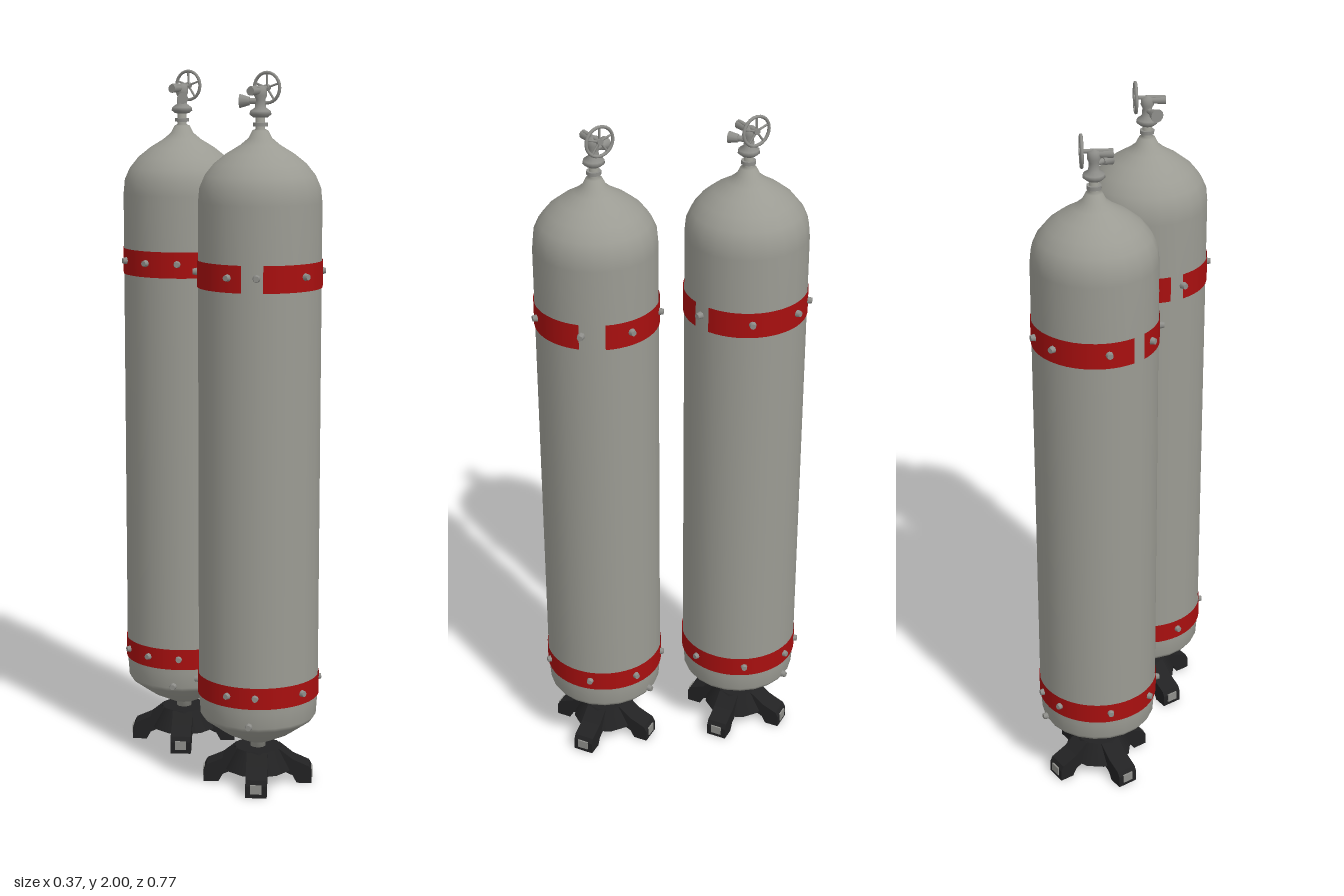
import * as THREE from 'three';

const rad = THREE.MathUtils.degToRad;
const mat = (name, color) => {
  const m = new THREE.MeshStandardMaterial({ color });
  m.name = name;
  return m;
};
const v2 = (list) => list.map(([x, y]) => new THREE.Vector2(x, y));

export function createModel() {
  const tankGrey = mat('tank grey', 0x9b9b93);
  const metal = mat('fitting metal', 0x8e8e8a);
  const red = mat('band red', 0xa80f0f);
  const black = mat('base black', 0x222223);
  red.side = THREE.DoubleSide;

  const add = (parent, name, geometry, material, x = 0, y = 0, z = 0) => {
    const m = new THREE.Mesh(geometry, material);
    m.name = name;
    m.position.set(x, y, z);
    parent.add(m);
    return m;
  };
  // child group whose +z points along an azimuth measured from the front
  const facing = (parent, name, azimuth, y = 0) => {
    const g = new THREE.Group();
    g.name = name;
    g.rotation.y = rad(azimuth);
    g.position.y = y;
    parent.add(g);
    return g;
  };
  // cylinder lying along z, r1 at the far end
  const rod = (r1, r0, length, sides) =>
    new THREE.CylinderGeometry(r1, r0, length, sides).rotateX(Math.PI / 2);

  // shared geometry
  const tankGeo = new THREE.LatheGeometry(v2([
    [0, 0.09], [0.022, 0.09], [0.022, 0.118], [0.04, 0.122], [0.1, 0.152], [0.158, 0.194],
    [0.165, 0.206], [0.168, 0.25], [0.17, 0.34], [0.17, 1.4], [0.17, 1.65], [0.166, 1.69],
    [0.152, 1.722], [0.127, 1.753], [0.093, 1.78], [0.055, 1.803], [0.032, 1.822],
    [0.022, 1.842], [0.013, 1.846], [0.013, 1.89], [0, 1.89],
  ]), 22);
  const legShape = new THREE.Shape(v2([
    [0, 0.1], [0.062, 0.1], [0.1, 0.07], [0.146, 0.05], [0.154, 0.035], [0.154, 0],
    [0.112, 0], [0.1, 0.022], [0.05, 0.045], [0, 0.045],
  ]));
  const legGeo = new THREE.ExtrudeGeometry(legShape, { depth: 0.06, bevelEnabled: false })
    .translate(0, 0, -0.03).rotateY(-Math.PI / 2);
  const hubGeo = new THREE.CylinderGeometry(0.066, 0.098, 0.062, 12);
  const boltGeo = rod(0.008, 0.012, 0.02, 8);

  const band = (parent, name, y0, y1, r, start, end) =>
    add(parent, name, new THREE.LatheGeometry(v2([[r, y0], [r, y1]]),
      Math.max(2, Math.ceil((end - start) / 7)), rad(start), rad(end - start)), red);

  function cylinder(name, z, bolts, gaps, outlet) {
    const g = new THREE.Group();
    g.name = name;
    g.position.z = z;
    add(g, 'tank', tankGeo, tankGrey);

    // painted bands, the upper one worn through in places
    band(g, 'lowerBand', 0.265, 0.326, 0.1718, 0, 360);
    gaps.forEach(([centre, width], i) => {
      const [next, nextWidth] = gaps[(i + 1) % gaps.length];
      const end = next - nextWidth / 2 + (i === gaps.length - 1 ? 360 : 0);
      band(g, 'upperBand', 1.42, 1.494, 0.1722, centre + width / 2, end);
    });

    // bolts on the bands and the lower dome
    const bolt = (azimuth, y, r) =>
      add(facing(g, 'boltMount', azimuth, y), 'bolt', boltGeo, metal, 0, 0, r);
    for (const a of bolts) {
      bolt(a, 1.46, 0.174);
      bolt(a, 0.297, 0.172);
    }
    for (const a of [-42, 135]) bolt(a, 0.212, 0.167);

    // four-legged base
    add(g, 'baseHub', hubGeo, black, 0, 0.07, 0);
    for (let i = 0; i < 4; i++) {
      const leg = facing(g, 'baseLeg', 55 + i * 90);
      add(leg, 'leg', legGeo, black);
      add(leg, 'footPlate', new THREE.BoxGeometry(0.032, 0.026, 0.006), metal, 0, 0.025, 0.154);
    }

    // valve body
    add(g, 'neckFlange', new THREE.CylinderGeometry(0.02, 0.02, 0.01, 12), metal, 0, 1.858, 0);
    add(g, 'valveBody', new THREE.LatheGeometry(v2([
      [0, 1.876], [0.02, 1.877], [0.03, 1.885], [0.028, 1.894], [0.015, 1.903],
      [0.013, 1.925], [0.018, 1.935], [0.016, 1.955], [0, 1.962],
    ]), 14), metal);

    // stem and handwheel
    const valve = facing(g, 'valve', 114, 1.955);
    add(valve, 'stem', rod(0.006, 0.006, 0.085, 8), metal, 0, 0, -0.006);
    add(valve, 'packing', rod(0.009, 0.012, 0.05, 10), metal, 0, -0.008, -0.025);
    add(valve, 'handwheelRim', new THREE.TorusGeometry(0.0405, 0.0045, 8, 24), metal, 0, 0, 0.032);
    add(valve, 'handwheelHub', rod(0.009, 0.009, 0.012, 10), metal, 0, 0, 0.032);
    for (let i = 0; i < 5; i++) {
      const spoke = add(valve, 'spoke', new THREE.CylinderGeometry(0.003, 0.003, 0.04, 6)
        .translate(0, 0.02, 0), metal, 0, 0, 0.032);
      spoke.rotation.z = (i * Math.PI * 2) / 5;
    }

    // side outlet with a flared nozzle
    const spout = facing(g, 'outlet', outlet.azimuth, 1.92);
    add(spout, 'outletPipe', rod(0.008, 0.008, 0.04, 10), metal, 0, 0, 0.018);
    add(spout, 'outletNozzle', rod(outlet.radius, 0.011, 0.027, 12), metal, 0, 0, 0.043);
    return g;
  }

  const model = new THREE.Group();
  model.name = 'gasCylinderPair';
  model.add(cylinder('frontCylinder', 0.205, [115, 68, 12, -36, -63, -124, -152, 162],
    [[-131, 13], [-40, 20], [78, 24]], { azimuth: -132, radius: 0.019 }));
  model.add(cylinder('backCylinder', -0.208, [-147, 161, 133, 85, 33, -36, -68, -100],
    [[-117, 12], [35, 16]], { azimuth: -29, radius: 0.016 }));
  return model;
}
